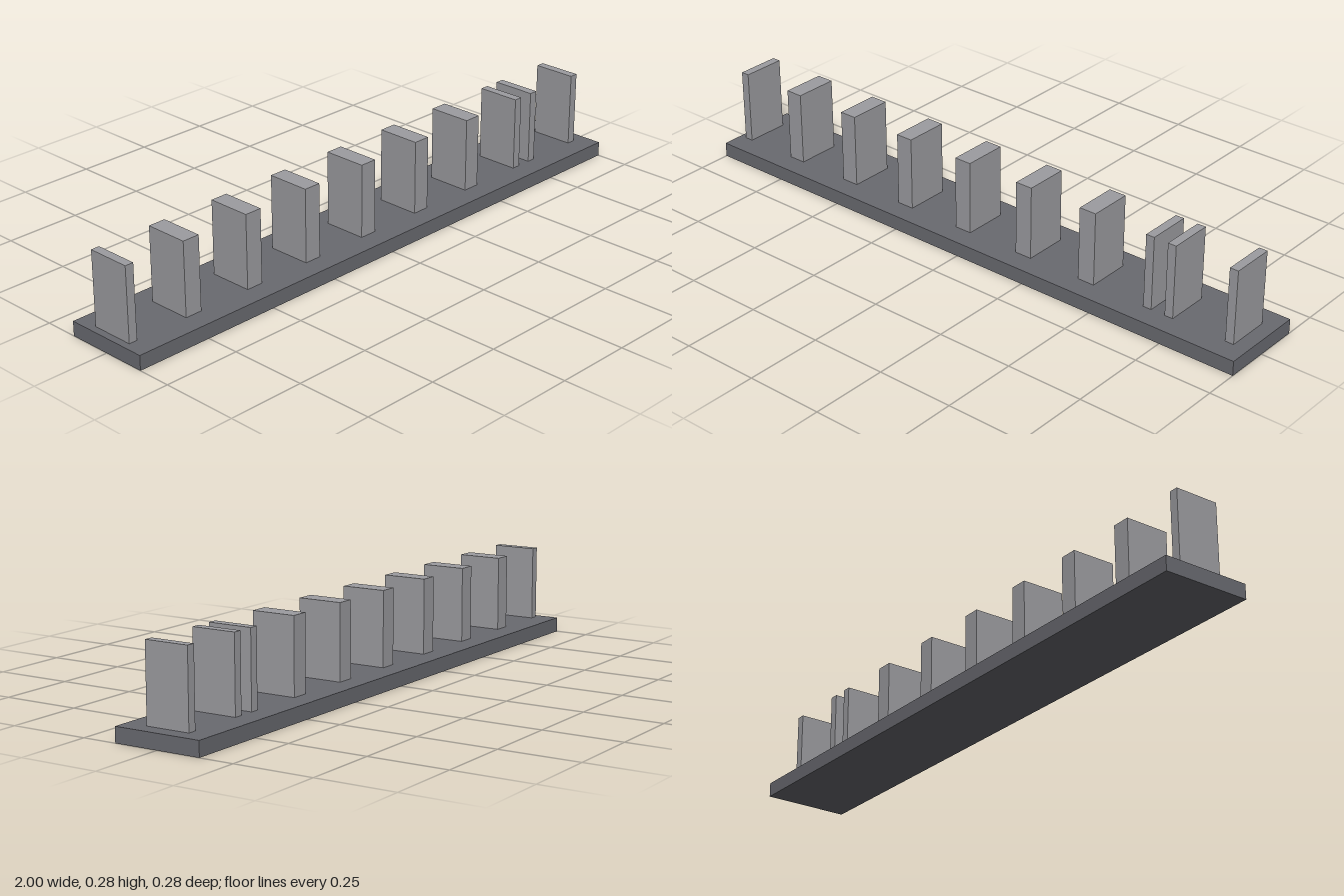
import * as THREE from 'three';

export function createModel() {
  const model = new THREE.Group();
  const darkGrey = new THREE.MeshStandardMaterial({ color: 0x696a70 });
  darkGrey.name = 'darkGrey';
  const lightGrey = new THREE.MeshStandardMaterial({ color: 0x9c9ca0 });
  lightGrey.name = 'lightGrey';

  const baseHeight = 0.047;
  const postHeight = 0.237;
  const wide = 0.057;
  const narrow = 0.028;

  // Box standing on y = bottom, starting at x = left
  function addBox(name, material, left, bottom, width, height, depth) {
    const mesh = new THREE.Mesh(new THREE.BoxGeometry(width, height, depth), material);
    mesh.position.set(left + width / 2, bottom + height / 2, 0);
    mesh.name = name;
    model.add(mesh);
  }

  // Long base slab
  addBox('base', darkGrey, -1, 0, 2, baseHeight, 0.282);

  // Evenly spaced wide posts
  for (let i = 0; i < 6; i++) {
    addBox('widePost', lightGrey, -0.77 + i * 0.2353, baseHeight, wide, postHeight, 0.142);
  }

  // Narrow posts near the ends
  for (const left of [-0.977, 0.642, 0.717, 0.924]) {
    addBox('narrowPost', lightGrey, left, baseHeight, narrow, postHeight, 0.142);
  }
  return model;
}
